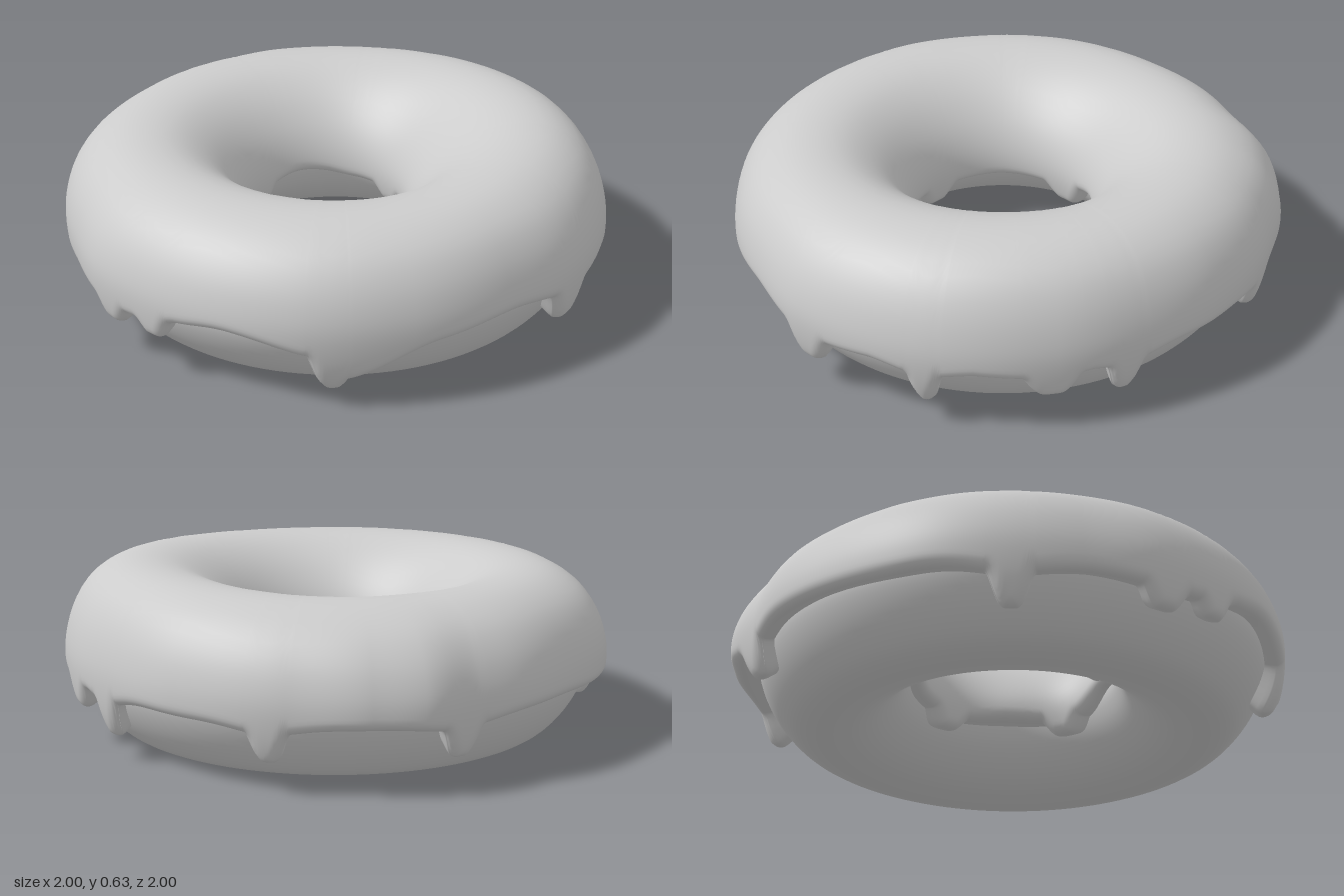
import * as THREE from 'three';

const V = (p) => new THREE.Vector2(p[0], p[1]);
const clamp01 = (x) => Math.min(1, Math.max(0, x));
const smooth = (x) => THREE.MathUtils.smoothstep(x, 0, 1);
const turn = (from, to) => ((to - from + 900) % 360) - 180;

// Periodic eased interpolation of [degrees, value] pairs
function around(keys, deg) {
  const n = keys.length;
  for (let i = 0; i < n; i++) {
    const a = keys[i], b = keys[(i + 1) % n];
    const span = (b[0] - a[0] + 360) % 360, d = (deg - a[0] + 360) % 360;
    if (d < span) return a[1] + (b[1] - a[1]) * smooth(d / span);
  }
  return keys[0][1];
}

// Lower edge of the icing: a wavy line with rounded drips [degrees, lowest y, half width, one-sided flare]
function edgeHeight(base, drips, deg) {
  const y = around(base, deg);
  let low = y;
  for (const [at, bottom, w, flare] of drips) {
    const d = turn(at, deg);
    let k = Math.exp(-Math.pow(Math.abs(d) / w, 4));
    k = Math.max(k, 0.22 * Math.exp(-Math.pow(d / (w * 2.2), 2)));
    if (flare && d < 0) k = Math.max(k, 0.75 * Math.exp(-Math.pow(d / flare, 2)));
    low = Math.min(low, y + (bottom - y) * k);
  }
  return low;
}

const OUTER_BASE = [[0, 0.235], [12, 0.235], [40, 0.26], [60, 0.23], [72, 0.21], [88, 0.23], [105, 0.26],
  [114, 0.25], [121, 0.2], [150, 0.2], [185, 0.21], [210, 0.23], [250, 0.22], [290, 0.22], [308, 0.23], [324, 0.225], [340, 0.225]];
const OUTER_DRIPS = [[82, 0.035, 4.5, 13], [25.5, 0.095, 5.4], [-2, 0.07, 3.4], [-28, 0.115, 5.6], [-44, 0.065, 3.9],
  [274, 0.085, 3.9], [235, 0.085, 4.2], [166, 0.06, 4.2], [134, 0.11, 4.7], [121, 0.14, 4]];
const INNER_BASE = [[0, 0.2], [30, 0.2], [57, 0.27], [90, 0.22], [150, 0.2], [190, 0.2], [235, 0.26], [275, 0.22], [320, 0.2]];
const INNER_DRIPS = [[117, 0.12, 13], [205, 0.12, 14], [20, 0.13, 12], [300, 0.14, 12]];
// Uneven outline seen from above
const RIM = [[0, 0.995], [26, 1], [45, 0.98], [66, 0.985], [90, 0.998], [122, 0.994], [136, 1], [152, 0.983], [180, 1],
  [204, 0.984], [222, 1], [232, 0.993], [244, 1.035], [254, 1.025], [270, 1], [294, 0.988], [314, 0.974], [331, 0.98]];

// Icing cross-section, from outer foot over the top to the inner foot
const ICING = new THREE.SplineCurve([
  [0.885, 0.005], [0.945, 0.075], [0.983, 0.16], [0.999, 0.27], [0.99, 0.36], [0.955, 0.45], [0.89, 0.53], [0.79, 0.585],
  [0.68, 0.6], [0.57, 0.58], [0.47, 0.52], [0.395, 0.44], [0.35, 0.36], [0.33, 0.28], [0.335, 0.2], [0.36, 0.12], [0.41, 0.04],
].map(V));

// Curve parameter at a given height on the outer or inner flank
function paramAt(y, inner) {
  let low = inner ? 1 : 0, high = 0.5;
  for (let i = 0; i < 24; i++) {
    const mid = (low + high) / 2;
    if (ICING.getPoint(mid).y < y) low = mid; else high = mid;
  }
  return (low + high) / 2;
}

const COLUMNS = 1080, ACROSS = 48, ROUND = 0.05;

// How far a point sinks so that the icing border is rounded on every side
function sinkAt(edges, column, y, radius) {
  const step = (Math.PI * 2 * radius) / COLUMNS, reach = Math.ceil(ROUND / step);
  let nearest = ROUND;
  for (let k = -reach; k <= reach; k++) {
    const edge = edges[(column + k + COLUMNS) % COLUMNS];
    nearest = Math.min(nearest, Math.hypot(k * step, Math.max(0, y - edge)));
  }
  const f = 1 - nearest / ROUND;
  return ROUND * (1 - Math.sqrt(1 - f * f));
}

function icingGeometry() {
  const pos = [], idx = [], row = ACROSS + 3;
  const outer = [], inner = [];
  for (let i = 0; i < COLUMNS; i++) {
    const deg = (i * 360) / COLUMNS;
    outer.push(edgeHeight(OUTER_BASE, OUTER_DRIPS, deg));
    inner.push(edgeHeight(INNER_BASE, INNER_DRIPS, deg));
  }
  for (let i = 0; i < COLUMNS; i++) {
    const deg = (i * 360) / COLUMNS, a = THREE.MathUtils.degToRad(deg);
    const t0 = paramAt(outer[i], false), t1 = paramAt(inner[i], true);
    const hole = -0.065 * Math.exp(-Math.pow(turn(-14, deg) / 42, 2));
    const rim = around(RIM, deg) - 0.999;
    const lift = 0.03 * Math.pow(Math.max(0, Math.cos(a + 0.32)), 2);
    for (let j = 0; j < row; j++) {
      // Points gather towards both borders; the first and last tuck into the dough
      const u = clamp01((j - 1) / ACROSS);
      const s = u - (0.85 * Math.sin(u * Math.PI * 2)) / (Math.PI * 2);
      const p = ICING.getPoint(t0 + (t1 - t0) * s);
      let sink = 0;
      if (p.y < 0.36) sink = s < 0.5 ? sinkAt(outer, i, p.y, 0.95) : sinkAt(inner, i, p.y, 0.36);
      if (j === 0 || j === row - 1) sink = 0.11;
      p.addScaledVector(new THREE.Vector2(0.665 - p.x, 0.3 - p.y).normalize(), sink);
      const side = clamp01(Math.abs(p.x - 0.665) / 0.335);
      const r = p.x + (p.x < 0.665 ? hole : rim) * side * side;
      const y = p.y + lift * smooth((p.y - 0.3) / 0.3);
      pos.push(r * Math.cos(a), y, r * Math.sin(a));
      if (j < row - 1) {
        const n = ((i + 1) % COLUMNS) * row + j, c = i * row + j;
        idx.push(c, c + 1, n, c + 1, n + 1, n);
      }
    }
  }
  const g = new THREE.BufferGeometry();
  g.setAttribute('position', new THREE.Float32BufferAttribute(pos, 3));
  g.setIndex(idx);
  g.computeVertexNormals();
  return g;
}

// Dough ring resting on its lower rim, its underside sweeping up into the hole
function doughGeometry() {
  const ring = new THREE.SplineCurve([
    [0.65, 0.004], [0.72, 0.003], [0.8, 0.035], [0.87, 0.11], [0.917, 0.2], [0.93, 0.28], [0.91, 0.39], [0.82, 0.5], [0.67, 0.54],
    [0.51, 0.5], [0.41, 0.39], [0.38, 0.28], [0.395, 0.2], [0.435, 0.13], [0.5, 0.065], [0.575, 0.022], [0.65, 0.004],
  ].map(V)).getPoints(64);
  return new THREE.LatheGeometry(ring, 112);
}

export function createModel() {
  const model = new THREE.Group();
  model.name = 'icedRing';
  const grey = new THREE.MeshStandardMaterial({ color: 0xcccccc });
  grey.name = 'light grey';
  for (const [name, geometry] of [['dough', doughGeometry()], ['icing', icingGeometry()]]) {
    const mesh = new THREE.Mesh(geometry, grey);
    mesh.name = name;
    model.add(mesh);
  }
  return model;
}
